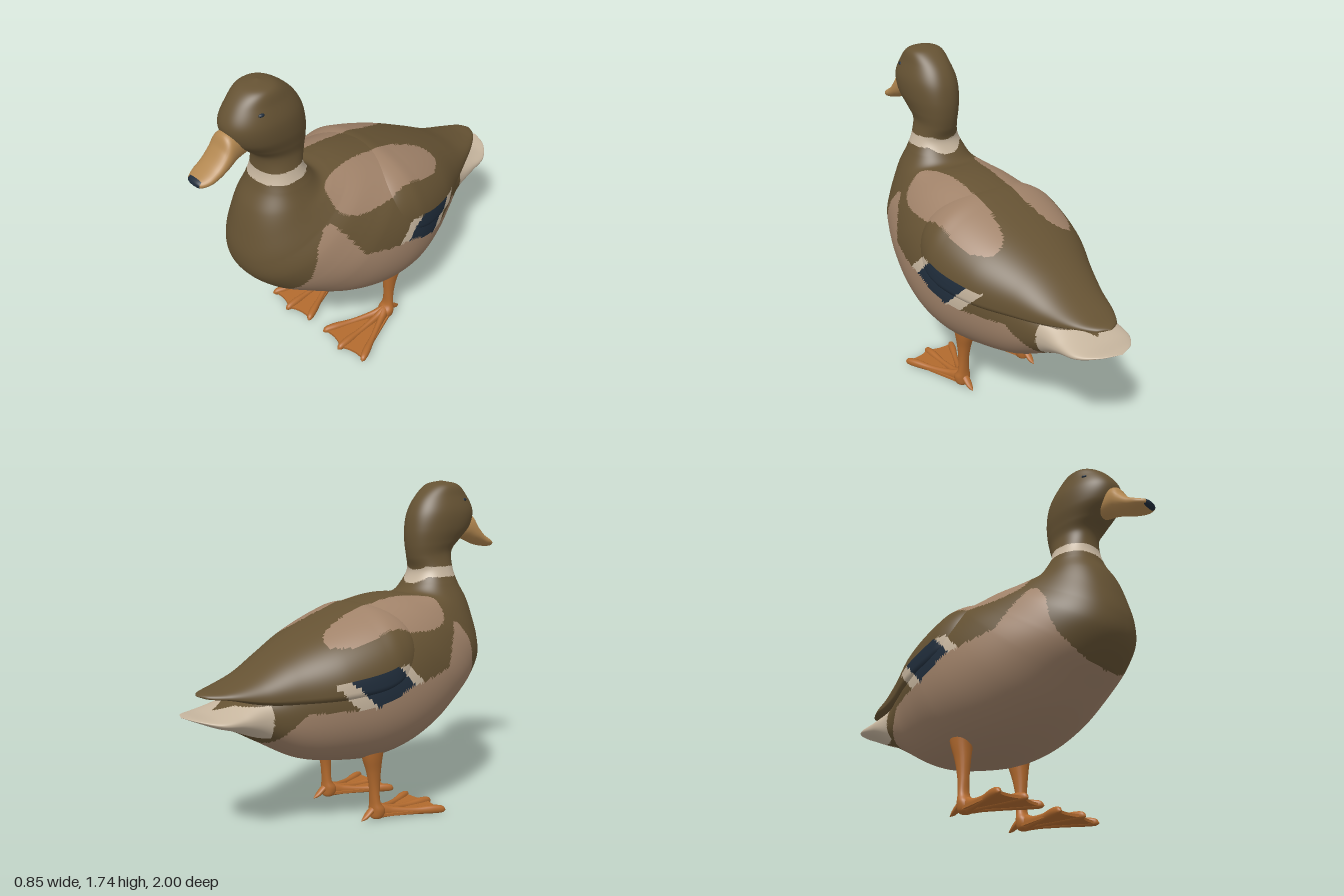
import * as THREE from 'three';

const mat = (name, color) => {
  const m = new THREE.MeshStandardMaterial({ color });
  m.name = name;
  return m;
};

// Value of a piecewise linear outline [[z, y], ...] with z descending
function outline(points, z) {
  for (let i = 1; i < points.length; i++) {
    const [z0, y0] = points[i - 1], [z1, y1] = points[i];
    if (z <= z0 && z >= z1) return y0 + (y1 - y0) * (z0 - z) / (z0 - z1);
  }
  return -1;
}

// Skin through stations [lowZ, lowY, highZ, highY, halfWidth], running front to back or top to bottom.
// widest: where along low-high the section is broadest; power: roundness; paint: material index by position
function loft(stations, { rows, cols, widest = 0.5, power = 0.9, paint }) {
  const low = new THREE.CatmullRomCurve3(stations.map(s => new THREE.Vector3(0, s[1], s[0])));
  const high = new THREE.CatmullRomCurve3(stations.map(s => new THREE.Vector3(s[4], s[3], s[2])));
  const pos = [], faces = [];
  const bend = v => Math.sign(v) * Math.pow(Math.abs(v), power);
  for (let i = 0; i <= rows; i++) {
    const F = low.getPoint(i / rows), B = high.getPoint(i / rows);
    for (let j = 0; j < cols; j++) {
      const a = j / cols * Math.PI * 2, c = bend(Math.cos(a));
      const k = widest + c * (c > 0 ? 1 - widest : widest);
      pos.push(Math.max(B.x, 0) * bend(Math.sin(a)), F.y + (B.y - F.y) * k, F.z + (B.z - F.z) * k);
    }
  }
  const add = (a, b, c) => {
    const mid = n => (pos[a * 3 + n] + pos[b * 3 + n] + pos[c * 3 + n]) / 3;
    const m = paint ? paint(Math.abs(mid(0)), mid(1), mid(2)) : 0;
    (faces[m] ??= []).push(a, b, c);
  };
  for (let i = 0; i < rows; i++) for (let j = 0; j < cols; j++) {
    const k = (j + 1) % cols, a = i * cols + j, b = i * cols + k;
    add(a, b, a + cols);
    add(b, b + cols, a + cols);
  }
  const geo = new THREE.BufferGeometry();
  geo.setAttribute('position', new THREE.Float32BufferAttribute(pos, 3));
  geo.setIndex(faces.flat());
  let start = 0;
  faces.forEach((f, m) => { geo.addGroup(start, f.length, m); start += f.length; });
  geo.computeVertexNormals();
  return geo;
}

// Plumage colour indices
const BROWN = 0, FAWN = 1, CREAM = 2, NAVY = 3;
const flankLine = [[0.74, 0.5], [0.676, 0.6], [0.6, 0.76], [0.56, 0.92], [0.5, 1.0], [0.46, 1.01], [0.4, 0.92],
  [0.33, 0.8], [0.13, 0.755], [0.05, 0.745], [-0.15, 0.66], [-0.47, 0.65], [-0.63, 0.48]];

function plumage(x, y, z) {
  // Neck ring, dipping at the nape
  const dip = Math.max(0, 0.44 - z);
  if (z > 0.33 && y > 1.23 - dip * 0.7 && y < 1.285 - dip * 0.9) return CREAM;
  // Tail edge and tip
  if (z < -0.62 && y < 0.7 && x / 0.16 + (-0.62 - z) / 0.22 > 1) return CREAM;
  // Belly and flanks
  if (y < outline(flankLine, z)) return FAWN;
  // Slanted wing bar with pale borders
  const s = z + y - 0.76;
  if (x > 0.2 && s < 0.12 && s > -0.345 && y < 0.85 + 0.17 * (z + 0.03)) return s < 0.05 && s > -0.25 ? NAVY : CREAM;
  // Pale shoulder ovals
  const ox = Math.abs(x - 0.22) / 0.115, oz = Math.abs(z - 0.04) / 0.37;
  if (y > 0.95 && ox ** 2.8 + oz ** 2.8 < 1) return FAWN;
  return BROWN;
}

const bodyStations = [
  [0.61, 1.743, 0.61, 1.743, 0], [0.70, 1.722, 0.53, 1.72, 0.085], [0.77, 1.66, 0.45, 1.65, 0.114],
  [0.81, 1.58, 0.405, 1.57, 0.138], [0.79, 1.5, 0.387, 1.48, 0.137], [0.72, 1.43, 0.388, 1.40, 0.12],
  [0.662, 1.37, 0.40, 1.33, 0.107], [0.655, 1.28, 0.42, 1.26, 0.124], [0.68, 1.2, 0.385, 1.19, 0.155],
  [0.735, 1.1, 0.34, 1.152, 0.19], [0.775, 0.98, 0.27, 1.156, 0.225], [0.80, 0.85, 0.2, 1.158, 0.265],
  [0.785, 0.75, 0.12, 1.15, 0.31], [0.70, 0.64, 0.02, 1.13, 0.355], [0.58, 0.55, -0.05, 1.11, 0.393],
  [0.4, 0.43, -0.12, 1.08, 0.42], [0.2, 0.345, -0.2, 1.04, 0.425], [0, 0.31, -0.3, 0.99, 0.4],
  [-0.2, 0.325, -0.42, 0.93, 0.34], [-0.4, 0.37, -0.53, 0.86, 0.265], [-0.6, 0.48, -0.63, 0.77, 0.2],
  [-0.75, 0.565, -0.75, 0.705, 0.185], [-0.87, 0.61, -0.87, 0.67, 0.165], [-0.96, 0.65, -0.96, 0.668, 0.09],
  [-1, 0.667, -1, 0.667, 0]];

const wingStations = [
  [0.25, 0.85, 0.25, 0.95, 0.1], [0.12, 0.77, 0.12, 1.1, 0.37], [0, 0.70, 0, 1.125, 0.42],
  [-0.1, 0.665, -0.1, 1.098, 0.42], [-0.3, 0.655, -0.3, 1.02, 0.368], [-0.5, 0.665, -0.5, 0.922, 0.265],
  [-0.65, 0.69, -0.65, 0.84, 0.195], [-0.8, 0.732, -0.8, 0.787, 0.125], [-0.89, 0.745, -0.89, 0.77, 0.06],
  [-0.92, 0.757, -0.92, 0.757, 0]];

const billStations = [
  [1, 1.39, 1, 1.39, 0], [0.988, 1.374, 0.99, 1.406, 0.042], [0.95, 1.372, 0.95, 1.425, 0.067],
  [0.9, 1.38, 0.9, 1.455, 0.073], [0.84, 1.4, 0.855, 1.505, 0.075], [0.78, 1.42, 0.82, 1.56, 0.07],
  [0.69, 1.43, 0.74, 1.56, 0.055]];

const legStations = [
  [0.03, 0.42, -0.11, 0.42, 0.06], [0.015, 0.35, -0.095, 0.35, 0.05], [0.008, 0.27, -0.07, 0.27, 0.036],
  [0.002, 0.18, -0.052, 0.18, 0.029], [0.004, 0.1, -0.045, 0.1, 0.034], [0.03, 0.06, -0.045, 0.06, 0.045],
  [0.03, 0.02, -0.04, 0.015, 0.035], [0, 0.006, 0, 0.006, 0]];

const toeStations = [
  [0.375, 0.016, 0.375, 0.016, 0], [0.36, 0.006, 0.36, 0.038, 0.014], [0.31, 0.004, 0.31, 0.048, 0.02],
  [0.2, 0.008, 0.2, 0.046, 0.015], [0.08, 0.01, 0.08, 0.062, 0.018], [0, 0.01, 0, 0.085, 0.024],
  [-0.04, 0.04, -0.04, 0.05, 0.005]];

const hindToeStations = [
  [-0.01, 0.06, -0.01, 0.09, 0.018], [-0.05, 0.035, -0.05, 0.07, 0.02], [-0.085, 0.015, -0.085, 0.04, 0.015],
  [-0.112, 0.012, -0.112, 0.014, 0]];

export function createModel() {
  const duck = new THREE.Group();
  duck.name = 'duck';
  const brown = mat('brown plumage', 0x655233);
  const fawn = mat('fawn plumage', 0xa08269);
  const cream = mat('cream plumage', 0xc6b59e);
  const navy = mat('dark navy', 0x202d3b);
  const billTan = mat('tan bill', 0xb28750);
  const orange = mat('orange skin', 0xb26a2e);
  const feathers = [brown, fawn, cream, navy];

  const part = (name, geo, material, parent = duck) => {
    const mesh = new THREE.Mesh(geo, material);
    mesh.name = name;
    parent.add(mesh);
    return mesh;
  };

  // Head, neck, body and tail in one skin, with the folded wings laid over
  part('body', loft(bodyStations, { rows: 288, cols: 160, paint: plumage }), feathers);
  part('foldedWings', loft(wingStations, { rows: 130, cols: 120, widest: 0.25, power: 0.88, paint: plumage }), feathers);
  part('bill', loft(billStations, { rows: 48, cols: 32, paint: (x, y, z) => (z > 0.977 && x < 0.04 ? 1 : 0) }), [billTan, navy]);

  // Webbing: scalloped between three toe tips
  const web = new THREE.Shape();
  web.moveTo(-0.025, -0.03);
  web.lineTo(-0.15, 0.33);
  web.quadraticCurveTo(-0.07, 0.31, 0, 0.355);
  web.quadraticCurveTo(0.07, 0.31, 0.15, 0.33);
  web.lineTo(0.025, -0.03);
  web.closePath();
  const webGeo = new THREE.ExtrudeGeometry(web, { depth: 0.014, bevelEnabled: false });
  webGeo.rotateX(Math.PI / 2);

  const legGeo = loft(legStations, { rows: 42, cols: 24 });
  const toeGeo = loft(toeStations, { rows: 36, cols: 16 });
  const hindToeGeo = loft(hindToeStations, { rows: 18, cols: 14 });
  const eyeGeo = new THREE.SphereGeometry(1, 16, 12);

  for (const side of [1, -1]) {
    const name = side > 0 ? 'left' : 'right';
    const eye = part(name + 'Eye', eyeGeo, navy);
    eye.position.set(side * 0.106, 1.64, 0.685);
    eye.scale.set(0.012, 0.009, 0.016);

    const leg = new THREE.Group();
    leg.name = name + 'Leg';
    leg.position.x = side * 0.212;
    duck.add(leg);
    part('shank', legGeo, orange, leg);
    part('hindToe', hindToeGeo, orange, leg);
    const webbing = part('webbing', webGeo, orange, leg);
    webbing.position.y = 0.036;
    webbing.rotation.x = 0.03;
    for (const turn of [-0.42, 0, 0.42]) {
      const toe = part('toe', toeGeo, orange, leg);
      toe.rotation.y = turn;
    }
  }
  return duck;
}
